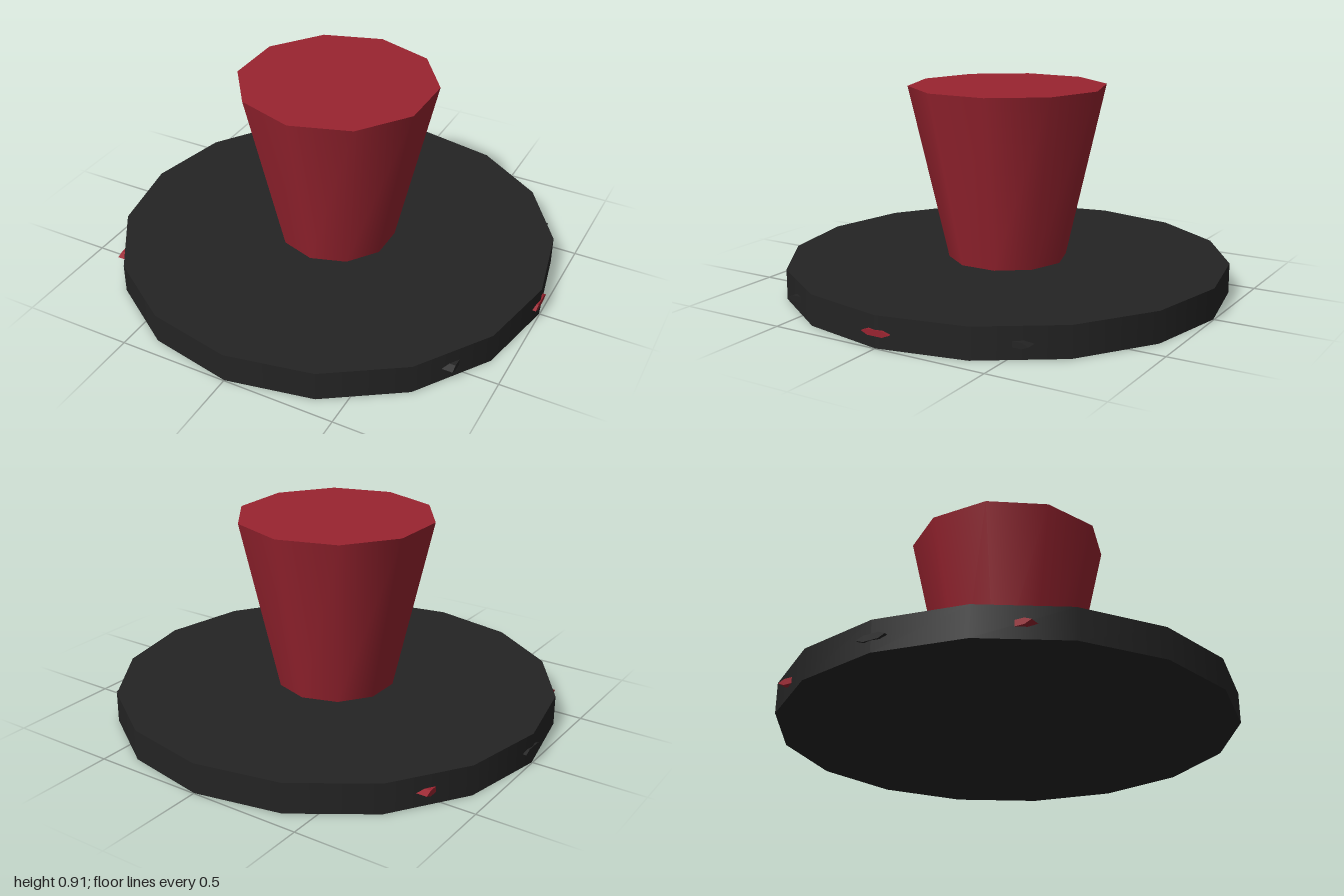
import * as THREE from 'three';

export function createModel() {
  const model = new THREE.Group();
  const red = new THREE.MeshStandardMaterial({ color: 0x9a2430 });
  red.name = 'deep red';
  const black = new THREE.MeshStandardMaterial({ color: 0x242424 });
  black.name = 'charcoal';

  const add = (name, geometry, material, x, y, z) => {
    const mesh = new THREE.Mesh(geometry, material);
    mesh.name = name;
    mesh.position.set(x, y, z);
    model.add(mesh);
  };

  // Sixteen-sided base disc
  add('baseDisc', new THREE.CylinderGeometry(0.997, 0.997, 0.135, 16), black, 0, 0.0675, 0);

  // Ten-sided column, widening upward
  add('column', new THREE.CylinderGeometry(0.443, 0.267, 0.78, 10), red, 0, 0.525, 0);

  // Small lozenge-section tabs poking out of the rim
  const half = 0.066;
  const section = new THREE.Shape([
    [-half, 0], [-0.035, -0.013], [0.035, -0.013],
    [half, 0], [0.035, 0.013], [-0.035, 0.013],
  ].map(([x, y]) => new THREE.Vector2(x, y)));
  const tab = new THREE.ExtrudeGeometry(section, { depth: 2 * half, bevelEnabled: false });
  tab.translate(0, 0, -half);
  tab.rotateY(Math.PI / 2);

  for (const side of [1, -1]) {
    add('rimTab', tab, side > 0 ? red : black, side * 0.934, 0.063, 0);
    for (const end of [1, -1]) {
      add('rimTab', tab, side > 0 ? black : red, side * 0.765, 0.063, end * 0.522);
    }
  }
  return model;
}
